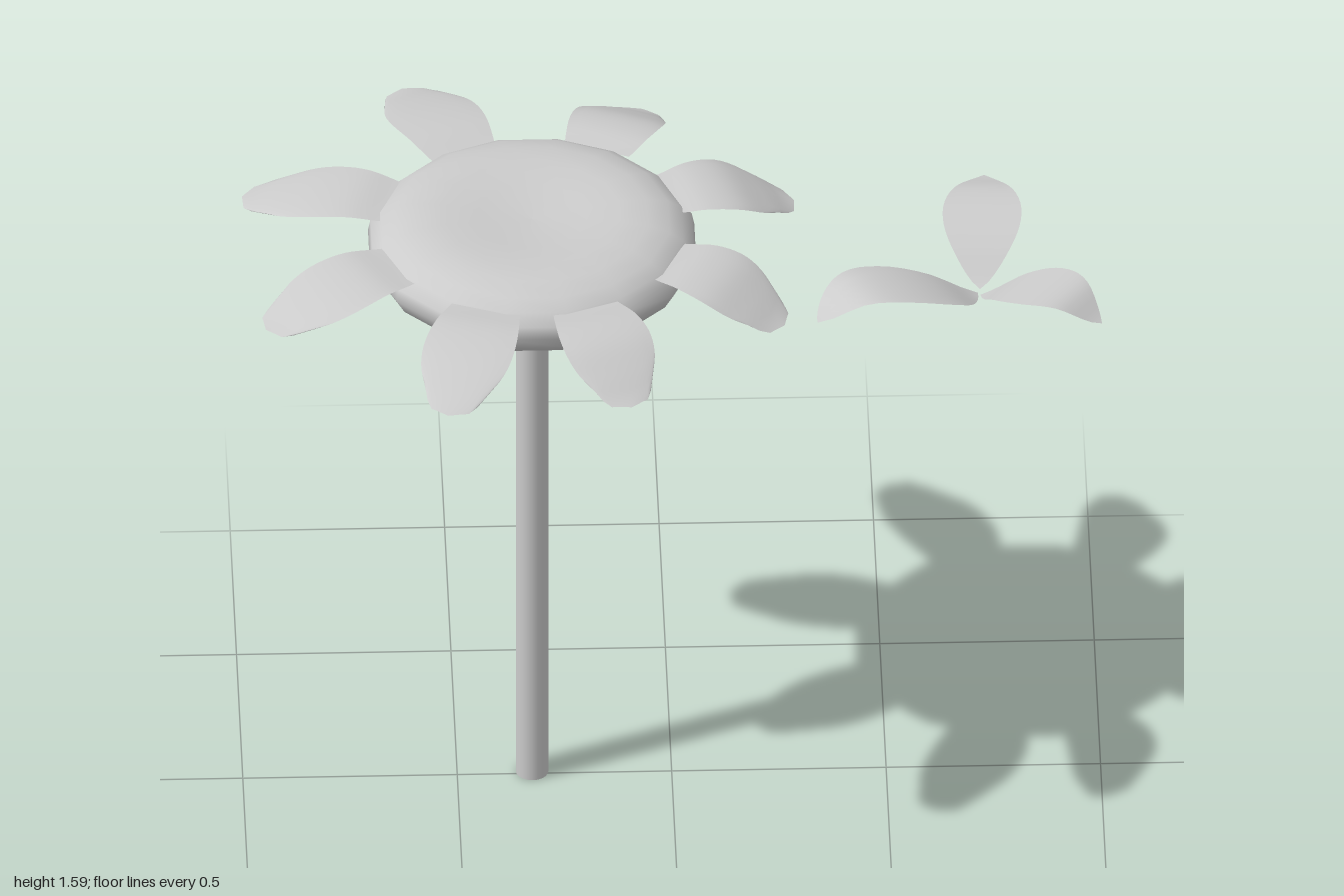
import * as THREE from 'three';

const grey = new THREE.MeshStandardMaterial({ color: 0xcccccc });
const thin = new THREE.MeshStandardMaterial({ color: 0xcccccc, side: THREE.DoubleSide });

function add(group, name, geometry, material) {
  const mesh = new THREE.Mesh(geometry, material);
  mesh.name = name;
  group.add(mesh);
  return mesh;
}

// Thin curved blade from base [x, z] to tip [x, z].
// shape(u, v) returns [fraction along, sideways offset, height], u in 0..1, v in -1..1
function blade(base, tip, shape, nu = 16, nv = 10) {
  const geo = new THREE.PlaneGeometry(1, 1, nv, nu);
  const pos = geo.attributes.position;
  const dx = tip[0] - base[0], dz = tip[1] - base[1];
  const len = Math.hypot(dx, dz);
  for (let i = 0; i < pos.count; i++) {
    const v = pos.getX(i) * 2, u = pos.getY(i) + 0.5;
    const [s, side, y] = shape(u, v);
    pos.setXYZ(i, base[0] + dx * s - (dz / len) * side, y, base[1] + dz * s + (dx / len) * side);
  }
  geo.computeVertexNormals();
  return geo;
}

// Smooth height curve through evenly spaced values
function heights(values) {
  const curve = new THREE.SplineCurve(values.map((y, i) => new THREE.Vector2(i, y)));
  return (t) => curve.getPoint(THREE.MathUtils.clamp(t, 0, 1)).y;
}

export function createModel() {
  const model = new THREE.Group();
  model.name = 'flower';
  const cx = -0.325, cz = -0.015;

  // Stem
  add(model, 'stem', new THREE.CylinderGeometry(0.038, 0.038, 1.25, 20), grey)
    .position.set(cx, 0.625, cz + 0.005);

  // Seed head: funnel below, rounded rim, slightly dished top
  const profile = [
    [0, 1.24], [0.04, 1.24], [0.075, 1.27], [0.14, 1.315], [0.22, 1.36], [0.31, 1.41],
    [0.365, 1.455], [0.388, 1.495], [0.382, 1.525], [0.357, 1.55], [0.325, 1.57],
    [0.275, 1.584], [0.21, 1.588], [0.13, 1.58], [0.06, 1.573], [0, 1.571],
  ].map(([r, y]) => new THREE.Vector2(r, y));
  const head = add(model, 'seedHead', new THREE.LatheGeometry(profile, 16), grey);
  head.position.set(cx, 0, cz);
  head.rotation.y = Math.PI / 16;

  // Petals: base x, z, tip x, z, tip height
  const petals = [
    [-0.475, -0.32, -0.61, -0.665, 1.49], [-0.165, -0.325, -0.05, -0.605, 1.463],
    [-0.01, -0.14, 0.292, -0.225, 1.463], [-0.01, 0.13, 0.255, 0.28, 1.463],
    [-0.21, 0.315, -0.11, 0.6, 1.463], [-0.44, 0.30, -0.54, 0.66, 1.49],
    [-0.64, 0.13, -0.955, 0.30, 1.49], [-0.64, -0.125, -0.995, -0.24, 1.49],
  ];
  const petalGroup = new THREE.Group();
  petalGroup.name = 'petals';
  model.add(petalGroup);
  for (const [bx, bz, tx, tz, end] of petals) {
    const height = heights([1.546, 1.556, 1.545, 1.55 - (1.55 - end) * 0.5, end]);
    add(petalGroup, 'petal', blade([bx, bz], [tx, tz], (u, v) => {
      // Rounded, gently lobed end
      const end = 1 - 0.2 * Math.abs(v) ** 3 - 0.02 * (1 - Math.cos(v * Math.PI * 3)) * 0.5;
      const s = u * end;
      const half = 0.08 + 0.028 * Math.sin(Math.PI * Math.min(1, u * 0.75)) - 0.025 * u ** 6;
      return [s, v * half, height(s) - 0.008 * v * v * u];
    }), thin);
  }

  // Three separate leaves meeting at a point beside the flower
  const leaves = [
    // base, tip, half width, skew, tip height
    [[0.72, -0.035], [0.74, -0.387], 0.092, 0, 1.412],
    [[0.715, -0.02], [0.335, 0.165], 0.093, -0.18, 1.388],
    [[0.72, -0.012], [0.998, 0.19], 0.088, 0, 1.39],
  ];
  const leafGroup = new THREE.Group();
  leafGroup.name = 'leaves';
  model.add(leafGroup);
  for (const [base, tip, half, skew, end] of leaves) {
    const height = heights([1.335, 1.392, 1.428, 1.436, end]);
    add(leafGroup, 'leaf', blade(base, tip, (u, v) => {
      const bulge = Math.max(0, Math.sin(Math.PI * u));
      const s = u - skew * v * bulge;
      return [s, v * half * bulge ** 0.85, height(s)];
    }, 20, 6), thin);
  }
  return model;
}
